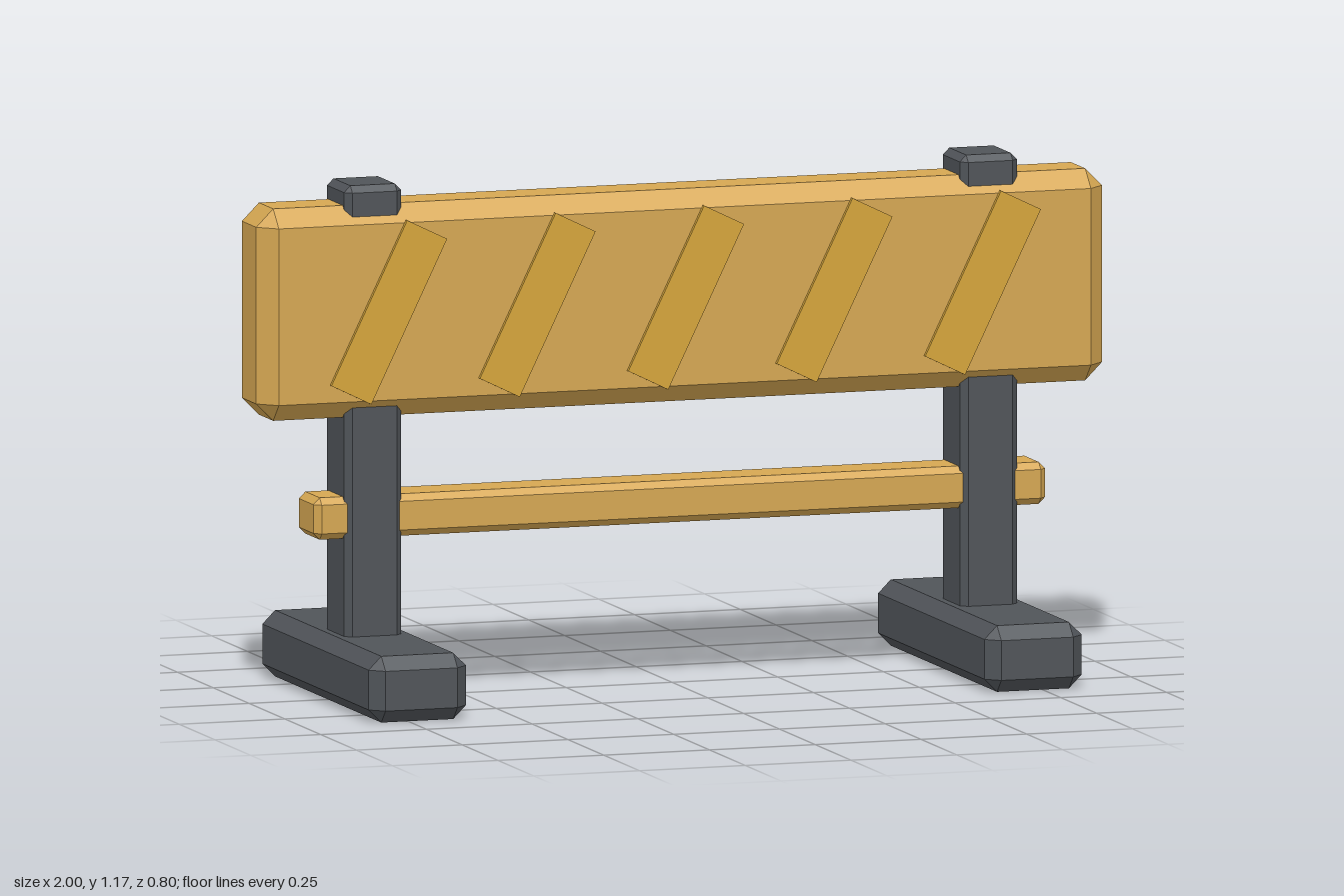
import * as THREE from 'three';
import { ConvexGeometry } from 'three/addons/geometries/ConvexGeometry.js';

const material = (name, color) => {
  const m = new THREE.MeshStandardMaterial({ color });
  m.name = name;
  return m;
};

// Box with every edge chamfered by b
function chamferBox(w, h, d, b) {
  const points = [];
  for (const sx of [-1, 1]) for (const sy of [-1, 1]) for (const sz of [-1, 1]) {
    for (let axis = 0; axis < 3; axis++) {
      const inset = [b, b, b];
      inset[axis] = 0;
      points.push(new THREE.Vector3(
        sx * (w / 2 - inset[0]), sy * (h / 2 - inset[1]), sz * (d / 2 - inset[2])));
    }
  }
  return new ConvexGeometry(points);
}

export function createModel() {
  const group = new THREE.Group();
  group.name = 'roadBarrier';
  const wood = material('amber board', 0xd6a752);
  const paint = material('yellow stripe', 0xd6a53a);
  const steel = material('dark grey', 0x505459);

  const add = (name, geometry, mat, x, y, z) => {
    const mesh = new THREE.Mesh(geometry, mat);
    mesh.name = name;
    mesh.position.set(x, y, z);
    group.add(mesh);
    return mesh;
  };

  // Main board and lower rail
  add('board', chamferBox(2, 0.48, 0.18, 0.04), wood, 0, 0.885, 0);
  add('lowerRail', chamferBox(1.73, 0.095, 0.13, 0.015), wood, 0, 0.418, 0);

  // Upright posts pass through the board and stand on long feet
  for (const [side, x] of [['left', 0.728], ['right', -0.728]]) {
    add(side + 'Post', chamferBox(0.135, 1.07, 0.148, 0.015), steel, x, 0.635, 0);
    add(side + 'Foot', chamferBox(0.23, 0.15, 0.802, 0.03), steel, x, 0.075, 0);
  }

  // Slanted stripes on both faces of the board
  const stripe = new THREE.BoxGeometry(0.105, 0.408, 0.0095);
  for (const [face, z] of [['front', 0.0945], ['back', -0.0945]]) {
    for (let i = -2; i <= 2; i++) {
      add(face + 'Stripe', stripe, paint, i * 0.351, 0.885, z).rotation.z = -0.455;
    }
  }
  return group;
}
